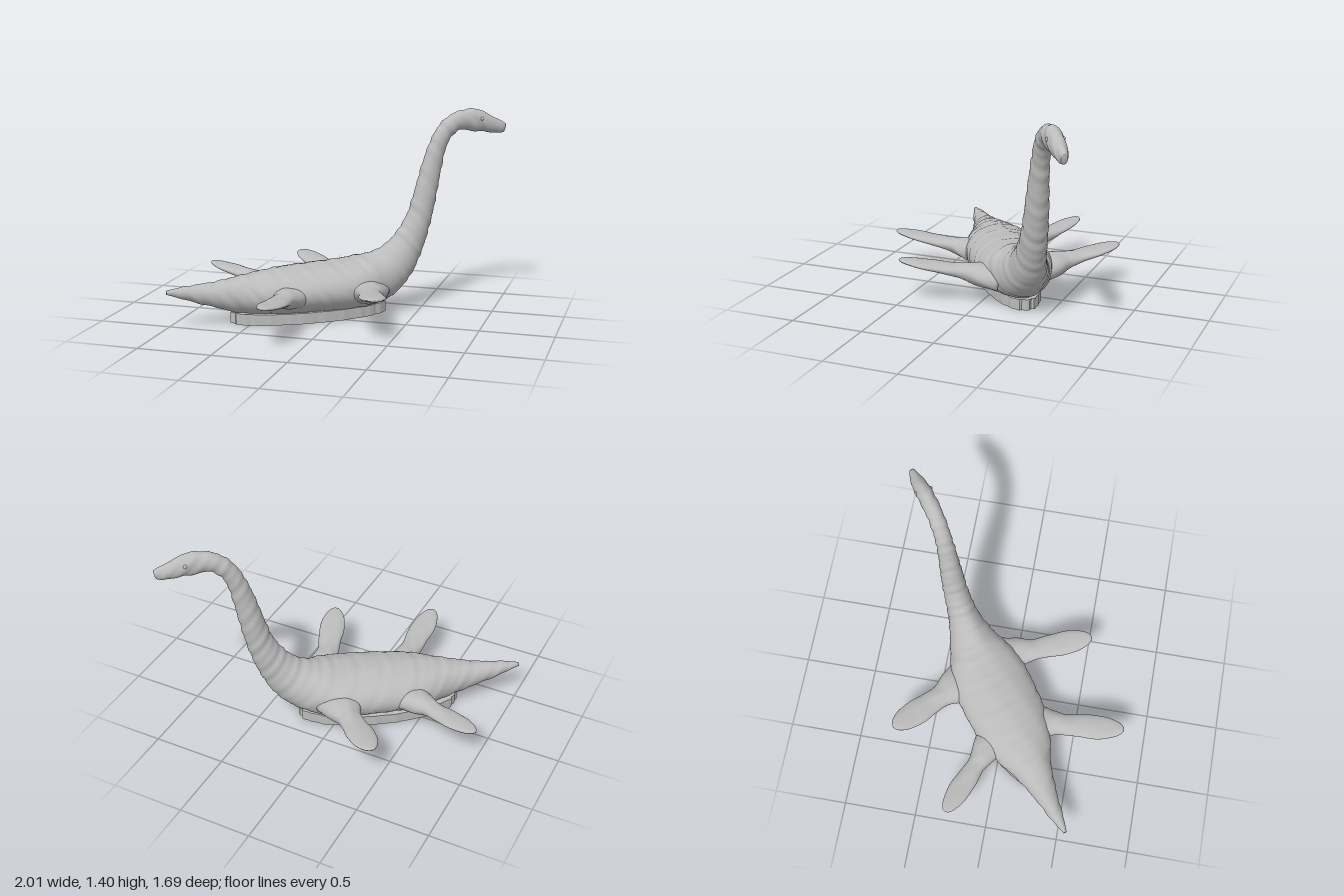
import * as THREE from 'three';

const skin = new THREE.MeshStandardMaterial({ color: 0xbbbbbb });
skin.name = 'grey clay';

// The animal lies diagonally: s runs from tail to head, t across it
const AXIS = new THREE.Vector3(0.821, 0, -0.571);
const ACROSS = new THREE.Vector3(0.571, 0, 0.821);
const place = (s, y, t) => new THREE.Vector3(0, y, 0).addScaledVector(AXIS, s).addScaledVector(ACROSS, t);

// Gentle hand-modelled unevenness
const lumps = (p) =>
  Math.sin(p.x * 31 + p.y * 17) * Math.sin(p.z * 29 - p.y * 23) +
  0.6 * Math.sin(p.x * 57 - p.z * 43 + p.y * 61);

// Smooth closed loft through elliptical sections; sizes = [halfWidth, halfHeight]
function loft(centres, sizes, side, rings, sides, bump) {
  const path = new THREE.CatmullRomCurve3(centres, false, 'catmullrom');
  const size = new THREE.CatmullRomCurve3(sizes.map(([w, h]) => new THREE.Vector3(w, h, 0)), false, 'catmullrom');
  const pos = [], index = [];
  for (let i = 0; i <= rings; i++) {
    const c = path.getPoint(i / rings), r = size.getPoint(i / rings);
    const up = side.clone().cross(path.getTangent(i / rings)).normalize();
    for (let j = 0; j < sides; j++) {
      const a = (j / sides) * Math.PI * 2;
      const offset = side.clone().multiplyScalar(Math.cos(a) * r.x).addScaledVector(up, Math.sin(a) * r.y);
      const p = c.clone().add(offset);
      const k = bump * Math.min(1, r.y / 0.05) * lumps(p);
      p.addScaledVector(offset.normalize(), k);
      pos.push(p.x, p.y, p.z);
    }
  }
  for (let i = 0; i < rings; i++) {
    for (let j = 0; j < sides; j++) {
      const n = (j + 1) % sides;
      const a = i * sides + j, b = i * sides + n, c = a + sides, d = b + sides;
      index.push(a, c, b, b, c, d);
    }
  }
  // End caps
  const first = pos.length / 3, last = first + 1, end = rings * sides;
  pos.push(...centres[0].toArray(), ...centres[centres.length - 1].toArray());
  for (let j = 0; j < sides; j++) {
    const n = (j + 1) % sides;
    index.push(first, j, n, last, end + n, end + j);
  }
  const g = new THREE.BufferGeometry();
  g.setAttribute('position', new THREE.Float32BufferAttribute(pos, 3));
  g.setIndex(index);
  g.computeVertexNormals();
  return g;
}

export function createModel() {
  const model = new THREE.Group();
  model.name = 'longNeckedSeaReptile';
  const add = (geometry, name) => {
    const mesh = new THREE.Mesh(geometry, skin);
    mesh.name = name;
    model.add(mesh);
    return mesh;
  };

  // Tail, trunk, neck and head in one skin: s, y, half width, half height
  const sections = [
    [-1.13, 0.25, 0.012, 0.014], [-1.0, 0.235, 0.045, 0.045], [-0.8, 0.21, 0.085, 0.088],
    [-0.63, 0.2, 0.135, 0.125], [-0.47, 0.2, 0.205, 0.145], [-0.3, 0.205, 0.252, 0.158],
    [-0.1, 0.21, 0.268, 0.165], [0.1, 0.215, 0.268, 0.17], [0.25, 0.23, 0.235, 0.175],
    [0.37, 0.262, 0.18, 0.172], [0.48, 0.34, 0.13, 0.15], [0.56, 0.44, 0.102, 0.122],
    [0.615, 0.54, 0.092, 0.103], [0.66, 0.65, 0.084, 0.088], [0.7, 0.8, 0.078, 0.08],
    [0.746, 1.0, 0.064, 0.07], [0.795, 1.16, 0.056, 0.06], [0.86, 1.262, 0.054, 0.06],
    [0.95, 1.315, 0.054, 0.064], [1.06, 1.314, 0.056, 0.076], [1.16, 1.288, 0.05, 0.062],
    [1.25, 1.26, 0.037, 0.046], [1.295, 1.249, 0.022, 0.032],
  ];
  add(loft(
    sections.map(([s, y]) => place(s, y, -0.115)),
    sections.map(([, , w, h]) => [w, h]),
    ACROSS, 180, 48, 0.0035,
  ), 'body');

  // Eyes: low mounds on each side of the head
  for (const m of [-1, 1]) {
    const eye = add(new THREE.SphereGeometry(0.014, 16, 12), m < 0 ? 'leftEye' : 'rightEye');
    eye.position.copy(place(1.1, 1.325, -0.115 + m * 0.048));
  }

  // Paddle flippers: root, tip, blade half width
  const flippers = [
    ['frontLeftFlipper', [-0.02, 0.2, -0.32], [-0.48, 0.29, -0.74], 0.092],
    ['backLeftFlipper', [-0.4, 0.19, -0.04], [-1.0, 0.275, -0.275], 0.075],
    ['frontRightFlipper', [0.2, 0.18, -0.12], [0.42, 0.295, 0.515], 0.088],
    ['backRightFlipper', [-0.24, 0.18, 0.14], [-0.215, 0.275, 0.84], 0.086],
  ];
  for (const [name, root, tip, w] of flippers) {
    const a = new THREE.Vector3(...root), b = new THREE.Vector3(...tip);
    const side = b.clone().sub(a).cross(new THREE.Vector3(0, 1, 0)).normalize();
    const blade = [
      [0, 1.75, 0.085], [0.2, 1.3, 0.075], [0.36, 0.9, 0.052], [0.52, 0.94, 0.036],
      [0.68, 1.02, 0.028], [0.82, 0.92, 0.022], [0.93, 0.64, 0.016], [0.985, 0.32, 0.01], [1, 0.06, 0.003],
    ];
    add(loft(
      blade.map(([u]) => a.clone().lerp(b, u)),
      blade.map(([, k, h]) => [k * w, h]),
      side, 60, 32, 0.003,
    ), name);
  }

  // Oval plinth with slightly irregular upright sides
  const outline = [];
  for (let i = 0; i < 72; i++) {
    const a = (i / 72) * Math.PI * 2;
    const k = 1 + 0.012 * Math.sin(i * 2.3) + 0.008 * Math.sin(i * 5.1);
    outline.push(new THREE.Vector2(0.55 * k * Math.cos(a), 0.19 * k * Math.sin(a)));
  }
  const plinth = new THREE.ExtrudeGeometry(new THREE.Shape(outline), { depth: 0.075, bevelEnabled: false });
  plinth.rotateX(-Math.PI / 2);
  plinth.rotateY(Math.atan2(0.571, 0.821));
  add(plinth, 'plinth').position.set(-0.185, 0, -0.03);

  return model;
}
